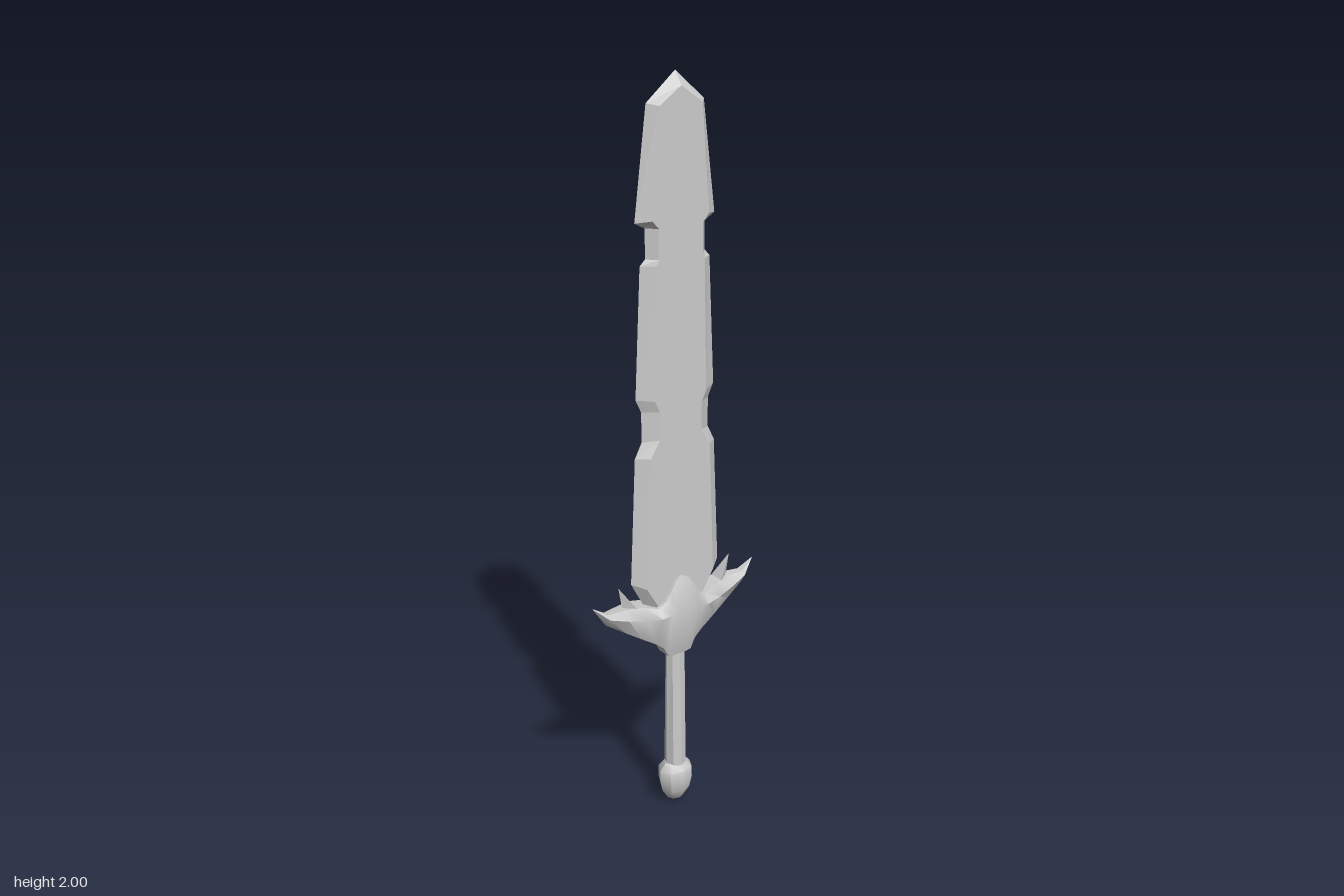
import * as THREE from 'three';
import { toCreasedNormals } from 'three/addons/utils/BufferGeometryUtils.js';

const flat = new THREE.MeshStandardMaterial({ color: 0xcccccc, flatShading: true });
const smooth = new THREE.MeshStandardMaterial({ color: 0xcccccc });

// Skins a list of equal-length rings; each ring turns right-handed about the loft axis.
function loft(rings) {
  const n = rings[0].length;
  const index = [];
  for (let i = 0; i < rings.length - 1; i++) {
    for (let j = 0; j < n; j++) {
      const a = i * n + j, b = i * n + (j + 1) % n;
      index.push(a, b, b + n, a, b + n, a + n);
    }
  }
  const last = (rings.length - 1) * n;
  for (let j = 1; j < n - 1; j++) {
    index.push(0, j + 1, j, last, last + j, last + j + 1);
  }
  const geometry = new THREE.BufferGeometry();
  geometry.setAttribute('position', new THREE.Float32BufferAttribute(rings.flat(2), 3));
  geometry.setIndex(index);
  geometry.computeVertexNormals();
  return geometry;
}

export function createModel() {
  const group = new THREE.Group();
  const add = (name, geometry, material) => {
    const mesh = new THREE.Mesh(geometry, material);
    mesh.name = name;
    group.add(mesh);
    return mesh;
  };

  // Notched blade: rows of edge height, edge x, flat height, flat x
  const t = 0.025;
  const bladeRows = [
    [0.62, 0.09, 0.62, 0.06],
    [0.715, 0.142, 0.70, 0.108],
    [1.06, 0.126, 1.06, 0.093],
    [1.10, 0.105, 1.105, 0.066],
    [1.18, 0.105, 1.18, 0.066],
    [1.215, 0.122, 1.21, 0.08],
    [1.55, 0.106, 1.55, 0.072],
    [1.565, 0.09, 1.565, 0.066],
    [1.64, 0.09, 1.64, 0.066],
    [1.655, 0.12, 1.66, 0.085],
    [1.93, 0.085, 1.925, 0.063],
    [2.0, 0, 1.967, 0],
  ];
  add('blade', loft(bladeRows.map(([ye, xe, yf, xf]) => [
    [-xf, yf, t], [xf, yf, t], [xe, ye, 0],
    [xf, yf, -t], [-xf, yf, -t], [-xe, ye, 0],
  ])), flat);

  // Winged guard: sections of x, top, middle, bottom heights and their half depths
  const half = [
    [0, 0.713, 0.63, 0.478, 0.034, 0.065, 0.022],
    [0.02, 0.705, 0.63, 0.478, 0.034, 0.062, 0.022],
    [0.037, 0.68, 0.625, 0.48, 0.035, 0.059, 0.021],
    [0.052, 0.655, 0.62, 0.508, 0.035, 0.056, 0.02],
    [0.076, 0.638, 0.615, 0.527, 0.034, 0.051, 0.018],
    [0.12, 0.653, 0.62, 0.555, 0.026, 0.042, 0.015],
    [0.17, 0.657, 0.63, 0.588, 0.018, 0.032, 0.011],
    [0.222, 0.655, 0.645, 0.622, 0.01, 0.021, 0.006],
    [0.263, 0.682, 0.681, 0.68, 0, 0.001, 0],
  ];
  const mirrored = half.slice(1).reverse().map(([x, ...rest]) => [-x, ...rest]);
  const guard = loft([...mirrored, ...half].map(([x, top, mid, bot, zt, zm, zb]) => [
    [x, top, zt], [x, mid, zm], [x, bot, zb],
    [x, bot, -zb], [x, mid, -zm], [x, top, -zt],
  ]));
  add('guard', toCreasedNormals(guard, 0.9), smooth);

  // Small spike on each wing
  const tip = [0.182, 0.716, 0];
  const spike = loft([
    [[0.127, 0.635, 0.03], [0.168, 0.635, 0], [0.127, 0.635, -0.03]],
    [tip, tip, tip],
  ]);
  add('leftSpike', spike, flat);
  add('rightSpike', spike, flat).rotation.y = Math.PI;

  // Tapered faceted grip
  const grip = new THREE.CylinderGeometry(0.022, 0.03, 0.38, 8);
  const p = grip.attributes.position;
  for (let i = 0; i < p.count; i++) {
    if (p.getY(i) > 0) p.setX(i, p.getX(i) * 1.3);
  }
  grip.translate(0, 0.31, 0);
  add('grip', grip, flat);

  // Rounded pommel
  const profile = [[0, 0.005], [0.025, 0.017], [0.043, 0.045], [0.051, 0.08], [0.05, 0.112], [0.032, 0.132], [0, 0.132]]
    .map(([r, y]) => new THREE.Vector2(r, y));
  const pommel = new THREE.LatheGeometry(profile, 8);
  pommel.scale(1, 1, 0.84);
  add('pommel', toCreasedNormals(pommel, 0.7), smooth);

  return group;
}
